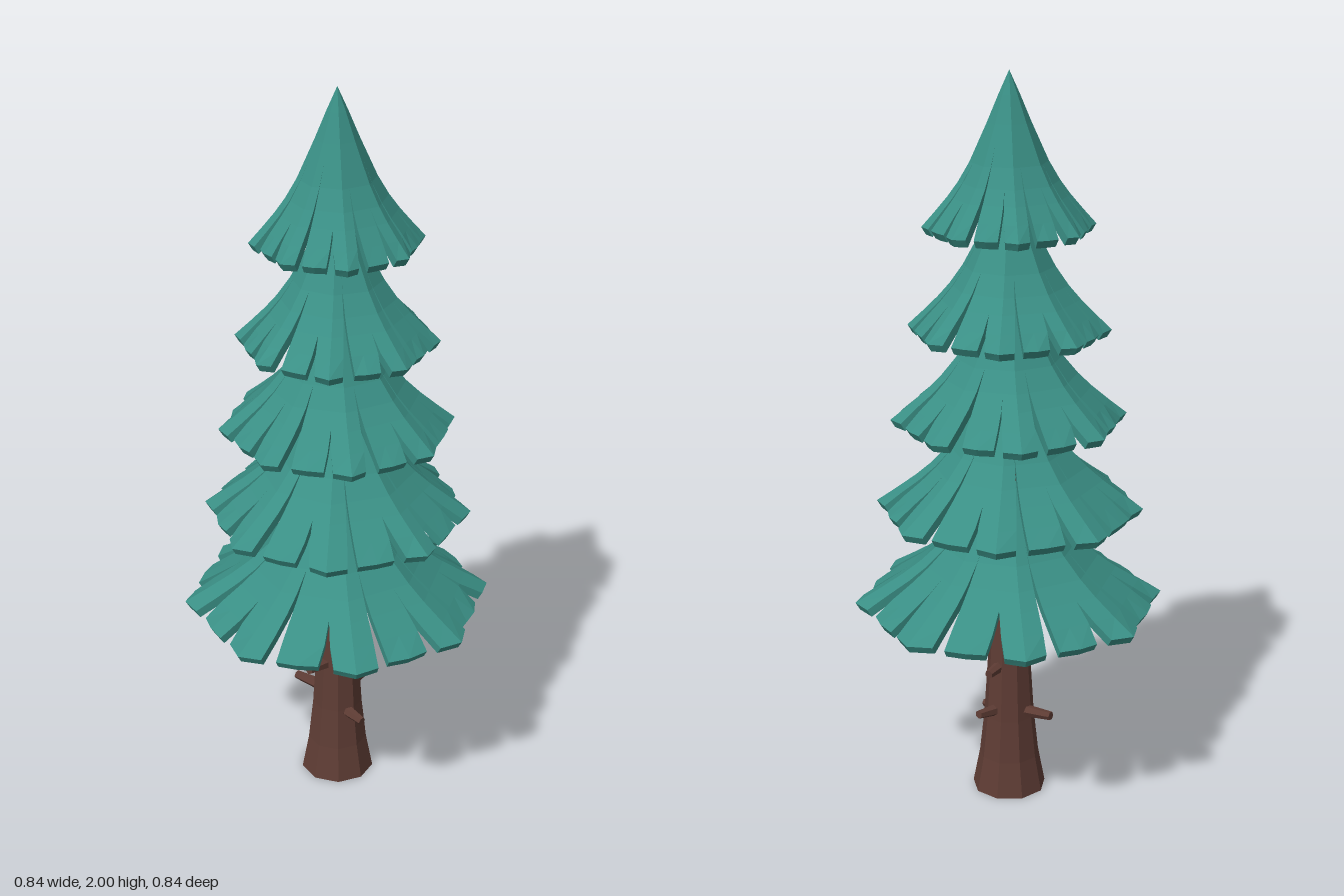
import * as THREE from 'three';

const needles = new THREE.MeshStandardMaterial({ color: 0x3a8f85 });
needles.name = 'needle teal';
needles.flatShading = true;
const bark = new THREE.MeshStandardMaterial({ color: 0x5e3c34 });
bark.name = 'bark brown';
bark.flatShading = true;

function seeded(seed) {
  return () => {
    seed = (seed * 16807) % 2147483647;
    return seed / 2147483647;
  };
}

// Concave bough profile: [fraction of radius, height above the tip]
const PROFILE = [[0, 0.395], [0.12, 0.335], [0.25, 0.265], [0.35, 0.215], [0.45, 0.165],
  [0.58, 0.115], [0.7, 0.078], [0.85, 0.038], [1, 0]];
const LEAVES = 16;
const STEP = (Math.PI * 2) / LEAVES;

// Octagonal radius factor, with corners on every multiple of 45 degrees
function octagon(a) {
  const q = Math.PI / 4;
  const m = ((a % q) + q) % q;
  return Math.cos(q / 2) / Math.cos(m - q / 2);
}

// One tier: an octagonal skirt cut by tapering slots into 16 thick strips
function makeTier(radius, baseY, turn, seed) {
  const rand = seeded(seed);
  const slots = [];
  for (let i = 0; i < LEAVES; i++) {
    slots.push({
      start: i % 2 ? 0.62 + rand() * 0.18 : 0.38 + rand() * 0.12,
      half: 0.04 + rand() * 0.025,
    });
  }
  const gap = (s, f) => Math.max(0, (f - s.start) / (1 - s.start)) * s.half;
  const pos = [];
  const quad = (a, b, c, d) => {
    for (const p of [a, b, c, a, c, d]) pos.push(p[0], p[1], p[2]);
  };

  for (let i = 0; i < LEAVES; i++) {
    const left = slots[i];
    const right = slots[(i + 1) % LEAVES];
    const mid = i * STEP;
    const ends = [0.97 + rand() * 0.03, 1, 0.97 + rand() * 0.03];
    // Rows of [left, middle, right] points for the upper and lower skins
    const rows = PROFILE.map(([f, h], k) => {
      const angles = [mid - STEP / 2 + gap(left, f), mid, mid + STEP / 2 - gap(right, f)];
      const last = k === PROFILE.length - 1;
      const skin = (drop, inset) => angles.map((a, j) => {
        const r = Math.max(0, radius * f * octagon(a) * (last ? ends[j] : 1) - inset);
        return [r * Math.cos(a + turn), baseY + h - drop, r * Math.sin(a + turn)];
      });
      return { top: skin(0, 0), under: skin(0.02, 0.012), f };
    });
    for (let k = 0; k < rows.length - 1; k++) {
      const p = rows[k];
      const q = rows[k + 1];
      for (let j = 0; j < 2; j++) {
        quad(p.top[j], p.top[j + 1], q.top[j + 1], q.top[j]);
        quad(p.under[j], q.under[j], q.under[j + 1], p.under[j + 1]);
      }
      if (q.f > left.start) quad(p.top[0], q.top[0], q.under[0], p.under[0]);
      if (q.f > right.start) quad(p.top[2], p.under[2], q.under[2], q.top[2]);
    }
    const e = rows[rows.length - 1];
    for (let j = 0; j < 2; j++) quad(e.top[j], e.top[j + 1], e.under[j + 1], e.under[j]);
  }
  const geometry = new THREE.BufferGeometry();
  geometry.setAttribute('position', new THREE.Float32BufferAttribute(pos, 3));
  geometry.computeVertexNormals();
  return new THREE.Mesh(geometry, needles);
}

// Short broken branch between two points, thicker at the trunk
function makeStub(from, to) {
  const a = new THREE.Vector3(...from);
  const b = new THREE.Vector3(...to);
  const dir = b.clone().sub(a);
  const mesh = new THREE.Mesh(new THREE.CylinderGeometry(0.012, 0.019, dir.length(), 6), bark);
  mesh.position.copy(a).add(b).multiplyScalar(0.5);
  mesh.quaternion.setFromUnitVectors(new THREE.Vector3(0, 1, 0), dir.normalize());
  return mesh;
}

export function createModel() {
  const tree = new THREE.Group();
  tree.name = 'pineTree';

  // Flared, tapering trunk
  const profile = [[0, 0], [0.102, 0], [0.083, 0.1], [0.07, 0.22], [0.06, 0.38], [0.05, 0.56],
    [0.04, 0.85], [0.028, 1.2], [0, 1.6]].map(([r, y]) => new THREE.Vector2(r, y));
  const trunk = new THREE.Mesh(new THREE.LatheGeometry(profile, 9), bark);
  trunk.name = 'trunk';
  tree.add(trunk);

  // Broken branches on the lower trunk
  const stubs = [
    [[-0.03, 0.24, 0], [-0.14, 0.248, 0.01]],
    [[0.03, 0.215, 0.02], [0.112, 0.203, 0.03]],
    [[0.02, 0.415, -0.02], [0.092, 0.405, -0.03]],
    [[-0.02, 0.475, 0], [-0.105, 0.475, -0.01]],
    [[0, 0.36, 0.03], [-0.005, 0.372, 0.12]],
    [[0, 0.245, -0.03], [0.01, 0.255, -0.12]],
    [[0, 0.38, -0.02], [-0.01, 0.375, -0.1]],
    [[0.01, 0.54, 0], [0.07, 0.527, 0.01]],
  ];
  stubs.forEach(([from, to], i) => {
    const stub = makeStub(from, to);
    stub.name = `branchStub${i + 1}`;
    tree.add(stub);
  });

  // Five tiers of boughs, alternate ones turned half a strip
  const tiers = [[0.42, 0.57], [0.36, 0.84], [0.315, 1.09], [0.268, 1.335], [0.226, 1.605]];
  tiers.forEach(([radius, y], i) => {
    const tier = makeTier(radius, y, i % 2 ? STEP / 2 : 0, 101 + i * 977);
    tier.name = `boughTier${i + 1}`;
    tree.add(tier);
  });
  return tree;
}
